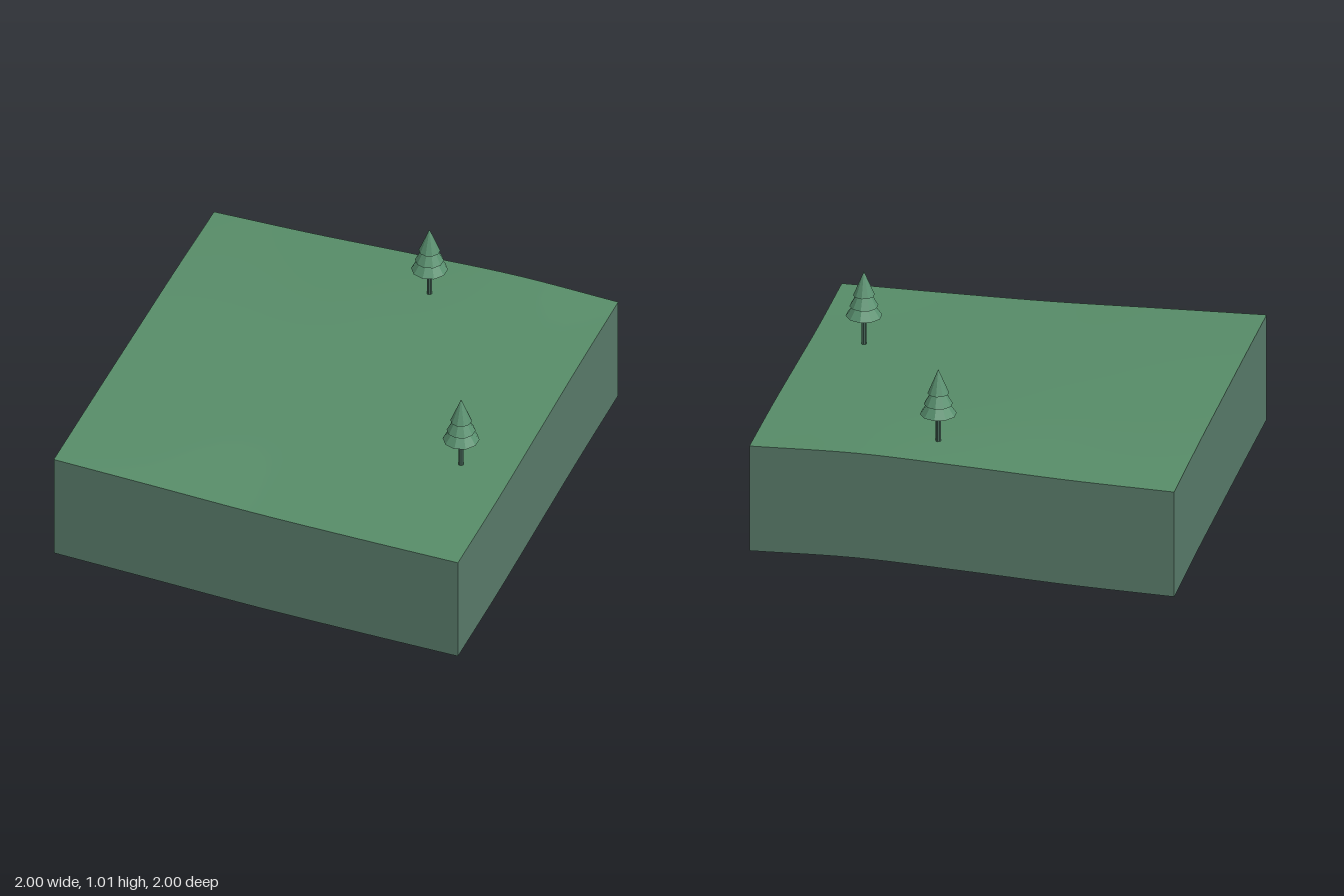
import * as THREE from 'three';

const DEPTH = 0.535;
const SEG = 24;

// ground heights, rows from back (z = -1) to front, columns from x = -1 to 1
const HEIGHTS = [
  [0.62, 0.63, 0.65, 0.665, 0.65],
  [0.618, 0.622, 0.63, 0.632, 0.625],
  [0.607, 0.604, 0.6, 0.595, 0.59],
  [0.595, 0.585, 0.572, 0.562, 0.555],
  [0.58, 0.563, 0.545, 0.538, 0.535],
];

// smooth curve through five evenly spaced values, t from -1 to 1
function smooth(v, t) {
  const s = THREE.MathUtils.clamp((t + 1) * 2, 0, 4);
  const i = Math.min(Math.floor(s), 3);
  const f = s - i;
  const b = v[i], c = v[i + 1];
  const a = i > 0 ? v[i - 1] : 2 * b - c;
  const d = i < 3 ? v[i + 2] : 2 * c - b;
  return b + 0.5 * f * (c - a + f * (2 * a - 5 * b + 4 * c - d + f * (3 * (b - c) + d - a)));
}

const groundHeight = (x, z) => smooth(HEIGHTS.map((row) => smooth(row, x)), z);

function add(parent, name, geometry, material, y = 0) {
  const mesh = new THREE.Mesh(geometry, material);
  mesh.name = name;
  mesh.position.y = y;
  parent.add(mesh);
  return mesh;
}

export function createModel() {
  const mat = (name, color, extra = {}) =>
    Object.assign(new THREE.MeshStandardMaterial({ color, ...extra }), { name });
  const grass = mat('grass', 0x578c68, { side: THREE.DoubleSide });
  const earth = mat('earth', 0x587a69, { side: THREE.DoubleSide });
  const foliage = mat('foliage', 0x5a9170, { flatShading: true });
  const bark = mat('bark', 0x48685a, { flatShading: true });

  const model = new THREE.Group();
  model.name = 'terrainTile';

  // rolling ground surface
  const ground = new THREE.PlaneGeometry(2, 2, SEG, SEG).rotateX(-Math.PI / 2);
  const gp = ground.attributes.position;
  for (let i = 0; i < gp.count; i++) gp.setY(i, groundHeight(gp.getX(i), gp.getZ(i)));
  ground.computeVertexNormals();
  add(model, 'ground', ground, grass);

  // four skirt walls, open below, following the ground edge at a constant depth
  ['frontWall', 'leftWall', 'backWall', 'rightWall'].forEach((name, k) => {
    const wall = new THREE.PlaneGeometry(2, 1, SEG, 1);
    wall.translate(0, 0, 1).rotateY(k * Math.PI / 2);
    const p = wall.attributes.position;
    for (let i = 0; i < p.count; i++) {
      const top = groundHeight(p.getX(i), p.getZ(i));
      p.setY(i, p.getY(i) > 0 ? top : top - DEPTH);
    }
    wall.computeVertexNormals();
    add(model, name, wall, earth);
  });

  // conifers: thin trunk and three stacked cones
  const tiers = [[0.085, 0.14], [0.067, 0.19], [0.05, 0.245]];
  [[0.165, -0.75, 0.645], [0.75, 0.33, 0.575]].forEach(([x, z, y]) => {
    const tree = new THREE.Group();
    tree.name = 'tree';
    tree.position.set(x, y, z);
    add(tree, 'trunk', new THREE.CylinderGeometry(0.012, 0.012, 0.16, 8), bark, 0.075);
    for (const [radius, base] of tiers) {
      add(tree, 'foliageTier', new THREE.ConeGeometry(radius, 0.12, 10), foliage, base + 0.06);
    }
    model.add(tree);
  });

  return model;
}
